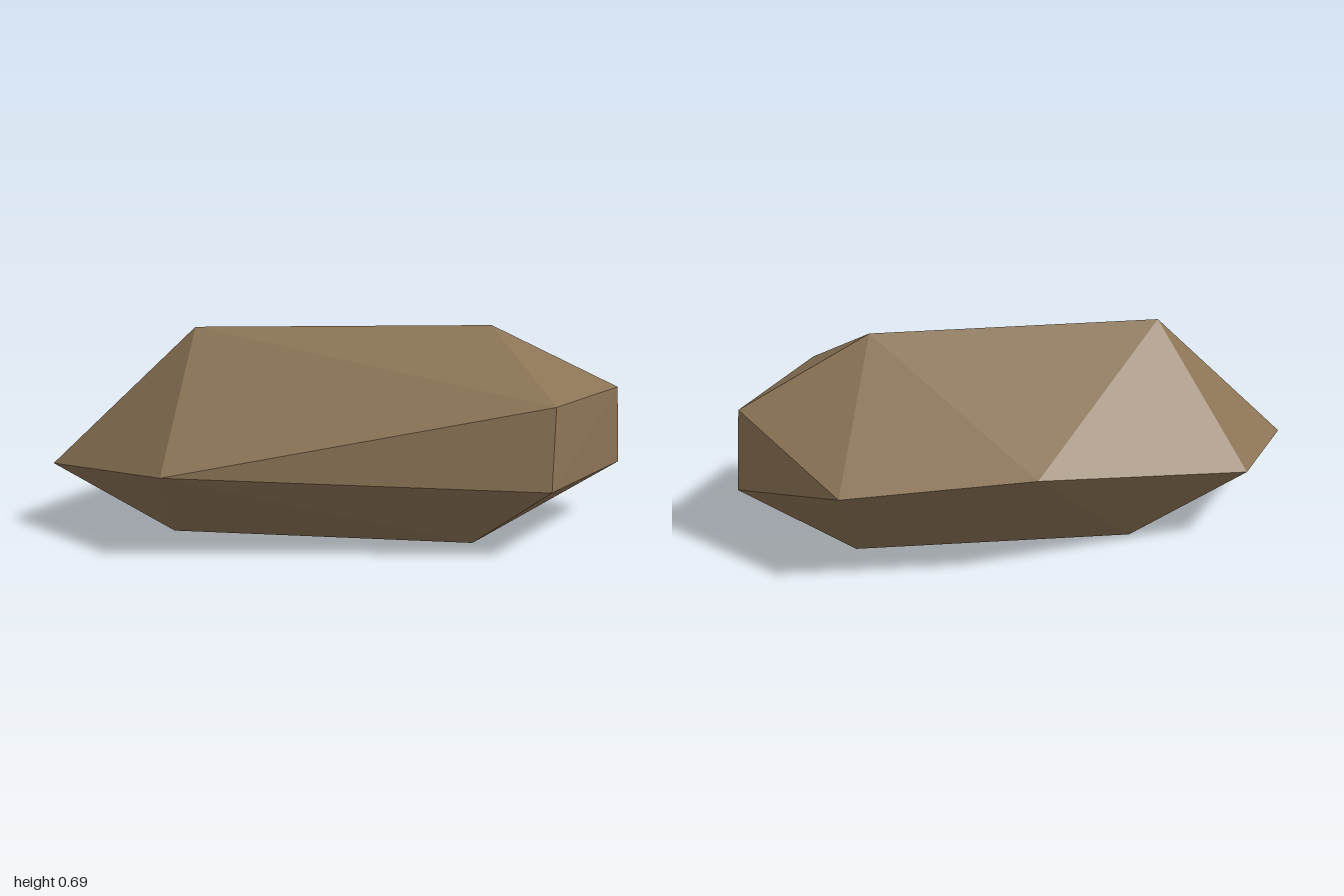
import * as THREE from 'three';
import { ConvexGeometry } from 'three/addons/geometries/ConvexGeometry.js';

export function createModel() {
  const group = new THREE.Group();
  group.name = 'boulder';

  const stone = new THREE.MeshStandardMaterial({ color: 0x8b7355, flatShading: true });
  stone.name = 'brown stone';

  // corners of the faceted stone, level by level
  const ridge = [[-0.5, 0.69, 0.015], [0.52, 0.695, 0.055]];
  const shoulder = [[0.67, 0.5, 0.49], [0.975, 0.467, 0.025]];
  const waist = [
    [-1, 0.22, 0.05], [-0.6, 0.277, 0.475], [0.655, 0.23, 0.54], [0.995, 0.19, 0],
    [0.705, 0.3, -0.45], [0.08, 0.34, -0.543], [-0.7, 0.24, -0.38],
  ];
  const base = [[-0.58, 0, 0.15], [0.43, 0, 0.335], [0.62, 0, -0.16], [-0.32, 0, -0.265]];

  // the stone is the convex hull of its corners
  const corners = [...ridge, ...shoulder, ...waist, ...base].map((p) => new THREE.Vector3(...p));
  const rock = new THREE.Mesh(new ConvexGeometry(corners), stone);
  rock.name = 'rock';
  group.add(rock);

  return group;
}
